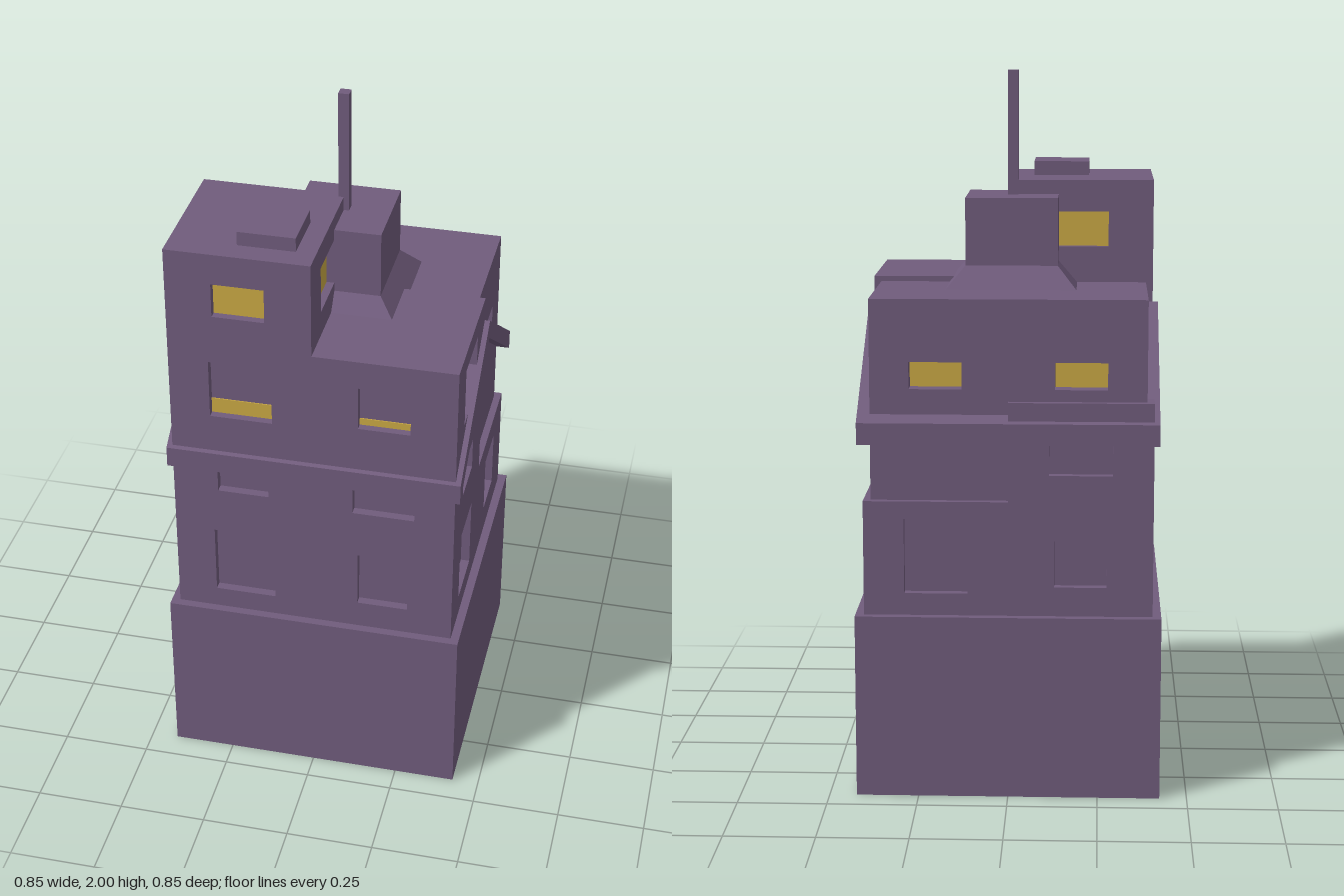
import * as THREE from 'three';

const plum = new THREE.MeshStandardMaterial({ color: 0x705c7c, flatShading: true });
const plumThin = new THREE.MeshStandardMaterial({ color: 0x705c7c, flatShading: true, side: THREE.DoubleSide });
const amber = new THREE.MeshStandardMaterial({ color: 0xc9a844, flatShading: true });

function mesh(parent, name, geometry, material = plum) {
  const m = new THREE.Mesh(geometry, material);
  m.name = name;
  parent.add(m);
  return m;
}

function box(parent, name, [x0, x1], [y0, y1], [z0, z1], material) {
  const m = mesh(parent, name, new THREE.BoxGeometry(x1 - x0, y1 - y0, z1 - z0), material);
  m.position.set((x0 + x1) / 2, (y0 + y1) / 2, (z0 + z1) / 2);
  return m;
}

function rect(Type, u0, u1, v0, v1) {
  return new Type([[u0, v0], [u1, v0], [u1, v1], [u0, v1]].map(([u, v]) => new THREE.Vector2(u, v)));
}

// A solid core wrapped in four walls with window openings of the given recess.
// Each window is [half width, bottom, top, height of the lit part].
function block(parent, name, [x0, x1], [y0, y1], [z0, z1], recess, windows) {
  const g = new THREE.Group();
  g.name = name;
  parent.add(g);
  box(g, 'core', [x0 + recess, x1 - recess], [y0, y1], [z0 + recess, z1 - recess]);
  const sides = {
    front: [0, x0, x1, z1, 0],
    back: [Math.PI, -x1, -x0, -z0, 0],
    left: [Math.PI / 2, -z1, -z0, x1, recess],
    right: [-Math.PI / 2, z0, z1, -x0, recess],
  };
  for (const [side, [angle, u0, u1, distance, inset]] of Object.entries(sides)) {
    const wall = new THREE.Group();
    wall.name = side + 'Wall';
    wall.rotation.y = angle;
    g.add(wall);
    const shape = rect(THREE.Shape, u0 + inset, u1 - inset, y0, y1);
    const centre = Math.sign(u0 + u1) * 0.2;
    for (const [half, bottom, top, lit] of windows[side] || []) {
      shape.holes.push(rect(THREE.Path, centre - half, centre + half, bottom, top));
      if (lit) {
        box(wall, 'litWindow', [centre - half, centre + half], [bottom, bottom + lit],
          [distance - recess - 0.005, distance - recess + 0.003], amber);
      }
    }
    const panel = mesh(wall, 'wallPanel', new THREE.ExtrudeGeometry(shape, { depth: recess, bevelEnabled: false }));
    panel.position.z = distance - recess;
  }
}

// Profile of [z, y] points drawn out along x to both sides
function acrossX(parent, name, points, halfLength) {
  const shape = new THREE.Shape(points.map(([z, y]) => new THREE.Vector2(-z, y)));
  const m = mesh(parent, name, new THREE.ExtrudeGeometry(shape, { depth: 2 * halfLength, bevelEnabled: false }));
  m.rotation.y = Math.PI / 2;
  m.position.x = -halfLength;
}

// Square thin-walled sleeve standing on the ground, open at both ends
function sleeve(parent, name, half, height) {
  const r = half * Math.SQRT2;
  const m = mesh(parent, name,
    new THREE.CylinderGeometry(r, r, height, 4, 1, true).rotateY(Math.PI / 4), plumThin);
  m.position.y = height / 2;
}

export function createModel() {
  const model = new THREE.Group();
  model.name = 'house';

  // Hollow plinth of nested sleeves
  sleeve(model, 'plinthWall', 0.424, 0.5);
  sleeve(model, 'plinthLining', 0.39, 0.5);
  sleeve(model, 'plinthInnerLining', 0.32, 0.5);
  box(model, 'plinthTop', [-0.424, 0.424], [0.5, 0.518], [-0.424, 0.424]);

  // Window types, by floor
  const S = 0.0725, B = 0.0875;
  const ground = { small: [S, 0.6, 0.77, 0], big: [B, 0.58, 0.79, 0] };
  const middle = { small: [S, 0.93, 1.025, 0], big: [B, 0.915, 1.045, 0] };
  const upper = { small: [S, 1.2, 1.33, 0.02], big: [B, 1.18, 1.355, 0.045] };
  const top = { small: [S, 1.5, 1.6, 0.1], big: [B, 1.485, 1.62, 0.135] };
  const loft = [[S, 1.15, 1.225, 0.075]];

  // Four quarters of different height
  const neg = [-0.4, 0], pos = [0, 0.4], recess = 0.025;
  block(model, 'tower', neg, [0.518, 1.69], pos, recess, {
    front: [ground.big, middle.small, upper.big, top.small],
    right: [ground.small, middle.big, upper.small, top.big],
    back: [top.small],
    left: [top.big],
  });
  block(model, 'frontLeftQuarter', pos, [0.518, 1.413], pos, recess, {
    front: [ground.small, middle.big, upper.small],
    left: [ground.big, middle.small, upper.big],
  });
  block(model, 'backRightQuarter', neg, [0.518, 1.117], neg, recess, {
    back: [ground.small, middle.big],
    right: [ground.big, middle.small],
  });
  block(model, 'backLeftQuarter', pos, [0.518, 0.84], neg, recess, {
    back: [ground.big],
    left: [ground.small],
  });
  box(model, 'knob', [-0.385, -0.365], [0.67, 0.695], [-0.18, -0.155], amber);

  // Set-back loft behind the tower
  block(model, 'loftLeft', [0, 0.38], [0.84, 1.398], [-0.38, 0], 0.05, { back: loft, left: loft });
  block(model, 'loftRight', [-0.38, 0], [1.117, 1.398], [-0.38, 0], 0.05, { back: loft, right: loft });

  // Thin gabled roof running through the house, with solid gables below it
  acrossX(model, 'gableRoof',
    [[0.409, 1.0], [0, 1.285], [-0.409, 1.0], [-0.409, 1.06], [0, 1.342], [0.409, 1.06]], 0.415);
  acrossX(model, 'frontGable', [[0, 1.08], [0, 1.29], [0.295, 1.08]], 0.4);
  acrossX(model, 'backGable', [[0, 1.08], [-0.295, 1.08], [0, 1.29]], 0.38);

  // Chimney with flared foot, mast and roof hatch
  const foot = mesh(model, 'chimneyFoot',
    new THREE.CylinderGeometry(0.13 * Math.SQRT2, 0.183 * Math.SQRT2, 0.062, 4).rotateY(Math.PI / 4));
  foot.position.y = 1.429;
  box(model, 'chimney', [-0.13, 0.13], [1.46, 1.65], [-0.13, 0.13]);
  box(model, 'mast', [-0.015, 0.015], [1.6, 2], [-0.015, 0.015]);
  box(model, 'roofHatch', [-0.215, -0.055], [1.69, 1.73], [0.175, 0.335]);

  return model;
}
